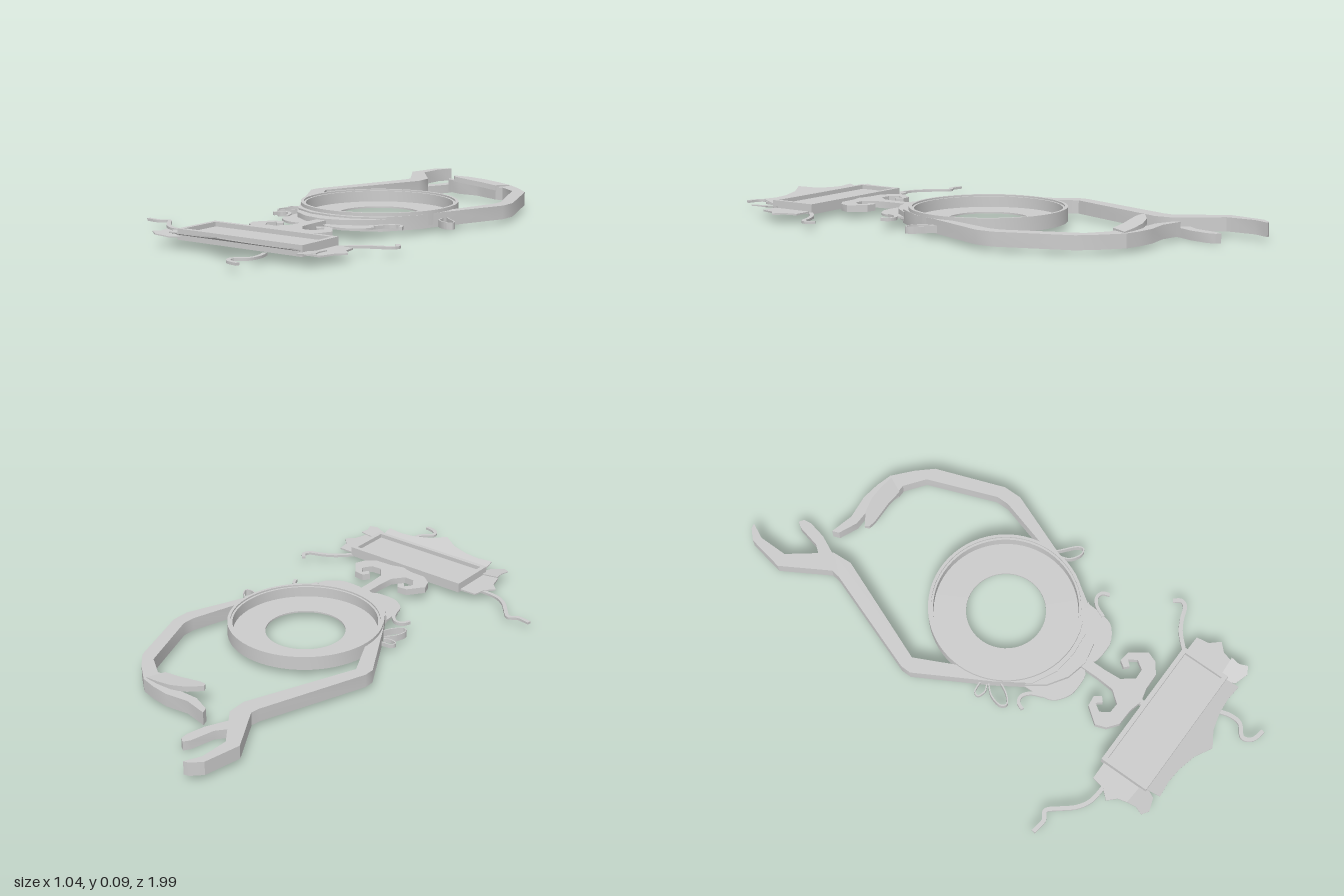
import * as THREE from 'three';
import { toCreasedNormals } from 'three/addons/utils/BufferGeometryUtils.js';

const material = new THREE.MeshStandardMaterial({ color: 0xcccccc, side: THREE.DoubleSide });
const V = ([x, z]) => new THREE.Vector2(x, -z);
const flip = (pts) => pts.map(([x, z]) => [-x, z]);

export function createModel() {
  const group = new THREE.Group();
  const body = new THREE.Group();
  body.name = 'ornament';
  body.position.x = 0.095; // most parts are symmetric about the ring centre
  group.add(body);

  function add(name, geometry) {
    const mesh = new THREE.Mesh(toCreasedNormals(geometry, 0.6), material);
    mesh.name = name;
    body.add(mesh);
    return mesh;
  }

  // Flat plate from an (x, z) outline; lift(x, z) optionally tilts it
  function plate(name, pts, y0, y1, { lift, hole, smooth } = {}) {
    let outline = pts.map(V);
    if (smooth) {
      const curve = new THREE.SplineCurve(outline);
      outline = curve.getPoints(pts.length * 5);
    }
    const shape = new THREE.Shape(outline);
    if (hole) shape.holes.push(new THREE.Path(hole.map(V)));
    const geo = new THREE.ExtrudeGeometry(shape, { depth: y1 - y0, bevelEnabled: false });
    geo.rotateX(-Math.PI / 2).translate(0, y0, 0);
    if (lift) {
      const p = geo.attributes.position;
      for (let i = 0; i < p.count; i++) p.setY(i, p.getY(i) + lift(p.getX(i), p.getZ(i)));
    }
    return add(name, geo);
  }

  // Strip of constant width following a smooth (x, z) path
  function ribbon(name, pts, width, y0, y1) {
    const curve = new THREE.SplineCurve(pts.map(([x, z]) => new THREE.Vector2(x, z)));
    const left = [], right = [], n = pts.length * 5;
    for (let i = 0; i <= n; i++) {
      const p = curve.getPoint(i / n), t = curve.getTangent(i / n);
      left.push([p.x - t.y * width / 2, p.y + t.x * width / 2]);
      right.unshift([p.x + t.y * width / 2, p.y - t.x * width / 2]);
    }
    return plate(name, [...left, ...right], y0, y1);
  }

  // Round dish with an open centre and raised stepped rim
  const profile = [[0.148, 0.026], [0.287, 0.026], [0.287, 0.078], [0.276, 0.078], [0.276, 0.072],
    [0.268, 0.072], [0.268, 0.032], [0.148, 0.032], [0.148, 0.026]];
  const ring = new THREE.LatheGeometry(profile.map(([r, y]) => new THREE.Vector2(r, y)), 64);
  add('ringDish', ring).position.z = -0.03;

  // Angular arms, following the rim of the dish at their lower ends
  const rimArc = (a0, a1) => Array.from({ length: 9 }, (_, i) => {
    const a = a0 + (a1 - a0) * i / 8;
    return [0.28 * Math.cos(a), -0.03 + 0.28 * Math.sin(a)];
  });
  plate('rightArm', [
    [-0.29, -0.99], [-0.31, -0.985], [-0.345, -0.95], [-0.37, -0.81], [-0.265, -0.635], [-0.27, -0.6],
    [-0.41, -0.2], [-0.41, -0.16], [-0.26, 0.1], [-0.18, 0.22], [-0.09, 0.265], [0, 0.275],
    ...rimArc(Math.PI / 2, Math.PI),
    [-0.36, -0.19], [-0.2, -0.6], [-0.205, -0.675], [-0.318, -0.82], [-0.318, -0.93]], 0.016, 0.066);
  plate('leftArm', [
    [0, 0.275], [0.09, 0.265], [0.18, 0.22], [0.26, 0.1], [0.29, 0], [0.39, -0.25], [0.39, -0.32],
    [0.295, -0.58], [0.24, -0.64], [0.17, -0.7], [0.135, -0.635], [0.165, -0.635], [0.24, -0.58],
    [0.34, -0.32], [0.34, -0.27], ...rimArc(-0.1, Math.PI / 2)], 0.016, 0.066);

  // Claws at the arm ends
  plate('rightThumb', [
    [-0.25, -0.71], [-0.21, -0.76], [-0.19, -0.85], [-0.175, -0.872], [-0.157, -0.86], [-0.153, -0.83],
    [-0.168, -0.76], [-0.21, -0.67], [-0.22, -0.65]], 0, 0.034);
  plate('leftOuterJaw', [
    [0.17, -0.7], [0.11, -0.716], [0.04, -0.725], [-0.05, -0.714], [-0.14, -0.735], [-0.13, -0.71],
    [-0.06, -0.68], [0.02, -0.68], [0.06, -0.665], [0.135, -0.635]], 0.016, 0.066);
  plate('leftInnerJaw', [
    [-0.06, -0.64], [-0.01, -0.675], [0.05, -0.693], [0.11, -0.695], [0.165, -0.69], [0.135, -0.628],
    [0.07, -0.63], [-0.02, -0.622], [-0.05, -0.625]], 0.05, 0.07,
    { lift: (x) => 0.025 * (0.165 - x) / 0.225 });

  // Crescent collar under the dish
  plate('collar', [
    [-0.2, 0.2], [-0.15, 0.265], [-0.08, 0.31], [0, 0.328], [0.08, 0.31], [0.15, 0.265], [0.2, 0.2],
    [0.13, 0.222], [0, 0.255], [-0.13, 0.222]], 0.026, 0.06);

  // Stem with its pair of scrolls
  const scroll = [[-0.02, 0.315], [-0.02, 0.4], [-0.025, 0.465], [-0.06, 0.51], [-0.1, 0.508],
    [-0.122, 0.475], [-0.103, 0.445], [-0.085, 0.465], [-0.068, 0.45], [-0.085, 0.425],
    [-0.125, 0.43], [-0.17, 0.49], [-0.155, 0.53], [-0.115, 0.56], [-0.05, 0.562], [0, 0.575]];
  const petal = [[-0.2, 0.2], [-0.195, 0.26], [-0.18, 0.315], [-0.13, 0.352], [-0.08, 0.358],
    [-0.03, 0.35], [-0.012, 0.31], [-0.1, 0.28]];
  const curl = [[-0.275, 0.245], [-0.262, 0.218], [-0.235, 0.213], [-0.208, 0.235], [-0.19, 0.275]];
  const upperWing = [[-0.25, 0.595], [-0.33, 0.597], [-0.338, 0.645], [-0.37, 0.68], [-0.34, 0.71],
    [-0.325, 0.765], [-0.25, 0.765]];
  const lowerWing = [[-0.25, 0.75], [-0.335, 0.745], [-0.33, 0.78], [-0.342, 0.81], [-0.315, 0.827],
    [-0.265, 0.81], [-0.24, 0.76]];
  for (const [side, m] of [['right', (p) => p], ['left', flip]]) {
    plate(side + 'Scroll', m([...scroll, [0, 0.315]]), 0.03, 0.055);
    plate(side + 'Petal', m(petal), 0.034, 0.042, { smooth: true });
    ribbon(side + 'Curl', m(curl), 0.012, 0.034, 0.046);
    plate(side + 'UpperWing', m(upperWing), 0.028, 0.034);
    plate(side + 'LowerWing', m(lowerWing), 0.032, 0.036,
      { lift: (x) => 0.15 * (Math.abs(x) - 0.24) });
  }
  plate('panelLink', [[-0.01, 0.55], [0.01, 0.55], [0.01, 0.6], [-0.01, 0.6]], 0.03, 0.05);

  // Framed rectangular panel
  const rect = (w, z0, z1) => [[-w, z0], [w, z0], [w, z1], [-w, z1]];
  plate('panelFrame', rect(0.262, 0.583, 0.775), 0.024, 0.062, { hole: rect(0.245, 0.6, 0.758) });
  plate('panelFloor', rect(0.25, 0.595, 0.763), 0.022, 0.046);

  // Upturned pointed frill along the panel's front
  const frill = [[-0.255, 0.765], [-0.252, 0.828], [-0.19, 0.822], [-0.13, 0.827], [-0.06, 0.845]];
  plate('frill', [...frill, [0, 0.88], ...flip(frill).reverse()], 0.04, 0.044,
    { lift: (x, z) => 0.29 * (z - 0.77) });

  // Trailing tendrils
  ribbon('rightTendril', [[-0.33, 0.645], [-0.4, 0.638], [-0.45, 0.61], [-0.49, 0.565], [-0.525, 0.528],
    [-0.56, 0.545], [-0.612, 0.538]], 0.015, 0.022, 0.031);
  ribbon('leftTendril', [[0.255, 0.595], [0.31, 0.54], [0.36, 0.512], [0.405, 0.495], [0.418, 0.47],
    [0.4, 0.445]], 0.015, 0.022, 0.031);
  ribbon('frontTendril', [[0.14, 0.81], [0.155, 0.86], [0.15, 0.905], [0.112, 0.94], [0.128, 0.975],
    [0.175, 0.988]], 0.015, 0.022, 0.031);

  // Thin upright loops beside the dish
  ribbon('leftLoop', [[0.285, -0.03], [0.32, 0], [0.36, 0.035], [0.368, 0.06], [0.34, 0.065],
    [0.3, 0.035], [0.285, -0.03]], 0.005, 0.02, 0.045);
  ribbon('rightLoop', [[-0.27, 0.09], [-0.3, 0.125], [-0.31, 0.17], [-0.29, 0.188], [-0.26, 0.16],
    [-0.24, 0.12]], 0.005, 0.02, 0.045);
  ribbon('rightSmallLoop', [[-0.28, 0.06], [-0.32, 0.065], [-0.328, 0.085], [-0.3, 0.095],
    [-0.275, 0.085]], 0.005, 0.025, 0.04);

  return group;
}
